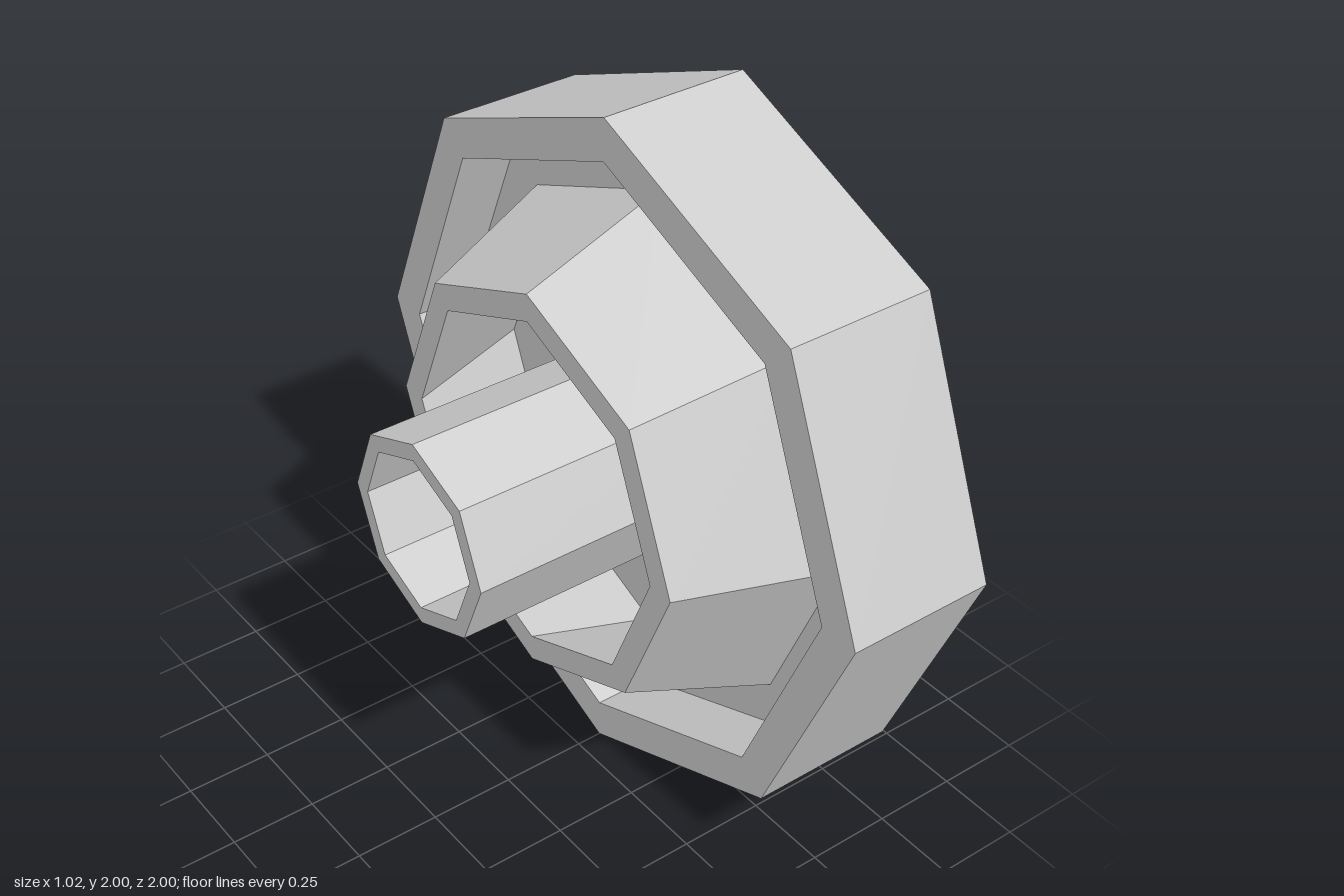
import * as THREE from 'three';

const SIDES = 8;
const FLOOR = 0.25; // x of the recessed floor behind the face

export function createModel() {
  const group = new THREE.Group();
  const grey = new THREE.MeshStandardMaterial({ color: 0xcccccc });
  grey.name = 'light grey';

  // Faceted ring around the x axis from a profile of [radius, x] pairs
  const addRing = (name, profile) => {
    const points = profile.map(([r, x]) => new THREE.Vector2(r, x));
    const geometry = new THREE.LatheGeometry(points, SIDES).toNonIndexed();
    geometry.computeVertexNormals();
    geometry.rotateZ(-Math.PI / 2);
    const mesh = new THREE.Mesh(geometry, grey);
    mesh.name = name;
    mesh.position.y = 1;
    group.add(mesh);
  };

  // Wide head: flat face, outer wall and recessed back
  addRing('head', [
    [0, FLOOR], [0.88, FLOOR], [0.88, 0.075], [1, 0.075], [1, 0.51], [0, 0.51],
  ]);

  // Flared collar standing in the recess
  addRing('collar', [
    [0.65, FLOOR], [0.51, -0.16], [0.59, -0.16], [0.745, FLOOR],
  ]);

  // Hollow central stem
  addRing('stem', [
    [0.235, FLOOR], [0.235, -0.51], [0.285, -0.51], [0.285, FLOOR],
  ]);

  return group;
}
